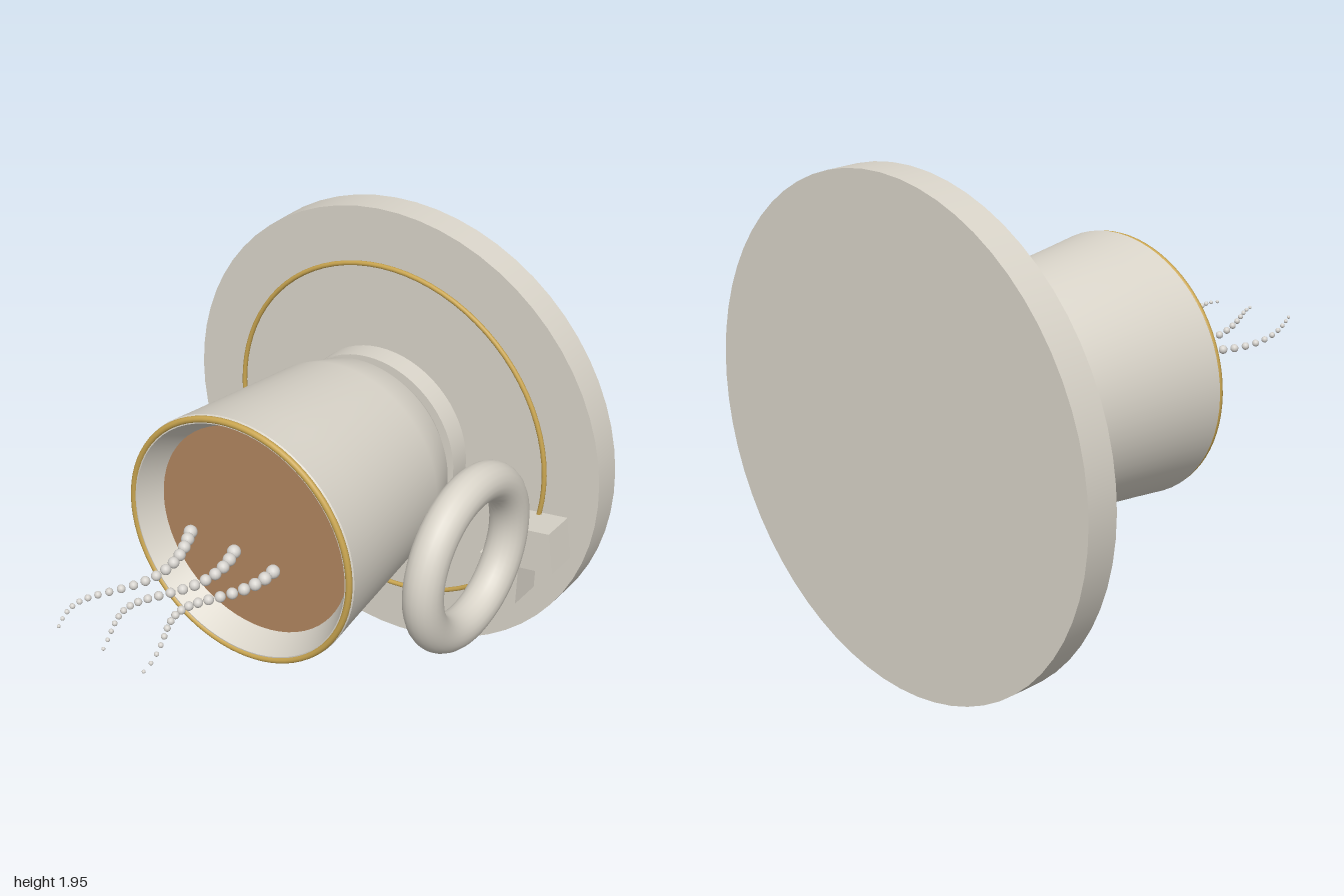
import * as THREE from 'three';

export function createModel() {
  const model = new THREE.Group();
  const mat = (name, color) => {
    const m = new THREE.MeshStandardMaterial({ color });
    m.name = name;
    return m;
  };
  const ceramic = mat('ceramic', 0xd9d4c9);
  const gold = mat('gold', 0xc9a550);
  const coffeeBrown = mat('coffeeBrown', 0xb0845e);
  const vapour = mat('vapour', 0xd6d3ce);

  const CY = 0.977; // height of the shared axis

  // Round parts are built upright, then tipped so their axis points forward
  const tipped = new THREE.Group();
  tipped.name = 'cupAndSaucer';
  tipped.rotation.x = Math.PI / 2;
  tipped.position.y = CY;
  model.add(tipped);

  const add = (parent, name, geometry, material, x = 0, y = 0, z = 0) => {
    const mesh = new THREE.Mesh(geometry, material);
    mesh.name = name;
    mesh.position.set(x, y, z);
    parent.add(mesh);
    return mesh;
  };
  const lathe = (pts) =>
    new THREE.LatheGeometry(pts.map(([r, h]) => new THREE.Vector2(r, h)), 64);

  // Saucer and its gold line
  add(tipped, 'saucer', new THREE.CylinderGeometry(0.975, 0.975, 0.13, 64), ceramic, 0, -0.935, 0);
  add(model, 'saucerGoldRing', new THREE.TorusGeometry(0.74, 0.01, 10, 80), gold, 0, CY, -0.857);

  // Cup: foot, outer wall, lip, inner wall, gold rim
  add(tipped, 'cupFoot', new THREE.CylinderGeometry(0.395, 0.395, 0.095, 64), ceramic, 0, -0.785, 0);
  add(tipped, 'cupOuterWall', lathe([[0.34, -0.755], [0.36, -0.735], [0.405, -0.68],
    [0.45, -0.53], [0.508, 0], [0.526, 0.15]]), ceramic);
  add(tipped, 'cupLip', lathe([[0.526, 0.15], [0.51, 0.168], [0.495, 0.168]]), ceramic);
  add(tipped, 'cupInnerWall', lathe([[0.495, 0.168], [0.47, 0.12], [0.438, 0.06]]), ceramic);
  add(model, 'cupGoldRim', new THREE.TorusGeometry(0.511, 0.013, 10, 80), gold, 0, CY, 0.163);

  // Coffee surface
  add(model, 'coffee', new THREE.CircleGeometry(0.442, 64), coffeeBrown, 0, CY, 0.066);

  // Ring handle at the side
  const handle = add(model, 'handle', new THREE.TorusGeometry(0.305, 0.077, 20, 56), ceramic, 0.75, CY, -0.27);
  handle.rotation.y = Math.PI / 2;

  // Sugar cubes resting on the saucer
  const cube = new THREE.BoxGeometry(0.18, 0.18, 0.18);
  add(model, 'sugarCube', cube, ceramic, 0.64, 0.583, -0.81);
  add(model, 'tiltedSugarCube', cube, ceramic, 0.777, 0.773, -0.81).rotation.z = 0.17;

  // Three wavy strands of shrinking steam beads
  const bead = new THREE.SphereGeometry(1, 14, 10);
  const COUNT = 18;
  for (let s = 0; s < 3; s++) {
    const strand = new THREE.Group();
    strand.name = 'steamStrand' + (s + 1);
    for (let i = 0; i < COUNT; i++) {
      const t = i / (COUNT - 1);
      const a = t * Math.PI * 2 + s * 0.8;
      const m = add(strand, 'steamBead', bead, vapour,
        (s - 1) * 0.165 + 0.059 * Math.sin(a), 0.98 + 0.022 * Math.cos(a), 0.243 + 0.75 * t);
      m.scale.setScalar(0.027 - 0.02 * t);
    }
    model.add(strand);
  }

  return model;
}
